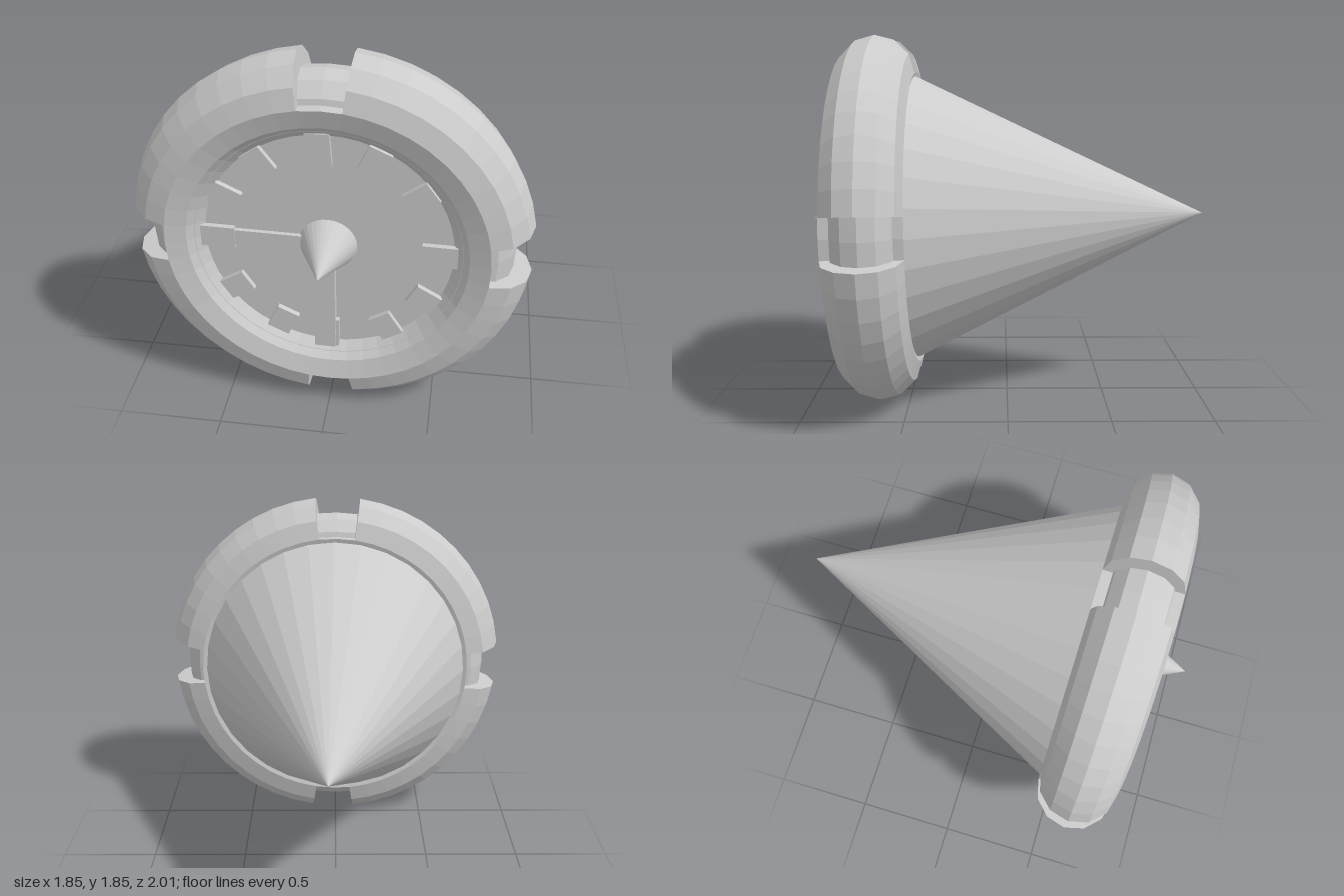
import * as THREE from 'three';

export function createModel() {
  const model = new THREE.Group();
  model.name = 'clockSpinner';
  const mat = new THREE.MeshStandardMaterial({ color: 0xcccccc, flatShading: true });
  const thin = new THREE.MeshStandardMaterial({ color: 0xcccccc, flatShading: true, side: THREE.DoubleSide });

  // Everything is built around the local z axis, which leans slightly
  const body = new THREE.Group();
  body.name = 'body';
  body.position.set(0, 0.935, 0.64);
  body.rotation.set(0.015, -0.021, 0);
  model.add(body);

  const add = (name, geometry, parent = body, material = mat) => {
    const mesh = new THREE.Mesh(geometry, material);
    mesh.name = name;
    parent.add(mesh);
    return mesh;
  };

  // Cone along z, with its base at zBase and its tip at zTip
  const cone = (name, radius, zBase, zTip) => {
    const height = Math.abs(zTip - zBase);
    const g = new THREE.ConeGeometry(radius, height, 32);
    g.rotateX(zTip > zBase ? Math.PI / 2 : -Math.PI / 2);
    g.translate(0, 0, (zBase + zTip) / 2);
    return add(name, g);
  };

  cone('rearCone', 0.81, 0, -1.645);
  cone('noseCone', 0.137, 0.09, 0.362);

  // Dial plate
  const dial = new THREE.CylinderGeometry(0.62, 0.62, 0.14, 48);
  dial.rotateX(Math.PI / 2);
  dial.translate(0, 0, 0.025);
  add('dialPlate', dial);

  // Rim: a twelve-sided tube whose outer half is cut away at four notches
  const rim = new THREE.Group();
  rim.name = 'rim';
  rim.rotation.z = 0.014;
  body.add(rim);

  const R = 0.74, r = 0.19;
  const halfTube = (startDeg) => {
    const pts = [];
    for (let i = 0; i <= 6; i++) {
      const a = THREE.MathUtils.degToRad(startDeg + i * 30);
      pts.push(new THREE.Vector2(R + r * Math.cos(a), r * Math.sin(a)));
    }
    return pts;
  };
  const lathe = (pts, segments, start = 0, length = Math.PI * 2) =>
    new THREE.LatheGeometry(pts, segments, start + Math.PI / 2, length).rotateX(Math.PI / 2);

  // Inner half, closed by the notch floor
  const inner = halfTube(90);
  inner.push(inner[0].clone());
  add('rimInner', lathe(inner, 48), rim);

  // Outer quarters with flat end caps
  const outer = halfTube(-90);
  const gap = THREE.MathUtils.degToRad(7.55);
  for (let k = 0; k < 4; k++) {
    const start = k * Math.PI / 2 + gap;
    const length = Math.PI / 2 - 2 * gap;
    add('rimQuarter', lathe(outer, 10, start, length), rim);
    for (const angle of [start, start + length]) {
      const cap = new THREE.ShapeGeometry(new THREE.Shape(outer));
      cap.rotateX(Math.PI / 2);
      cap.rotateZ(angle);
      add('rimQuarterEnd', cap, rim, thin);
    }
  }

  // Smaller core ring showing inside the notches
  add('coreRing', new THREE.TorusGeometry(0.69, 0.155, 12, 48), rim);

  // Hour marks, a little unevenly spaced
  const markAngles = [0, 36, 65.5, 93.7, 126, 154.5, 180, 212.5, 244.7, 269.5, 302, 330];
  markAngles.forEach((deg, i) => {
    const a = THREE.MathUtils.degToRad(deg);
    const main = i % 3 === 0;
    const mark = add('hourMark', new THREE.BoxGeometry(main ? 0.16 : 0.13, 0.11, 0.05));
    const d = main ? 0.51 : 0.515;
    mark.position.set(d * Math.cos(a), d * Math.sin(a), 0.095);
    mark.rotation.z = a;
  });

  // Hands
  const minute = add('minuteHand', new THREE.BoxGeometry(0.1, 0.56, 0.05));
  minute.position.set(-0.015, -0.305, 0.11);
  const hour = add('hourHand', new THREE.BoxGeometry(0.4, 0.085, 0.04));
  hour.position.set(-0.25, 0, 0.095);

  return model;
}
